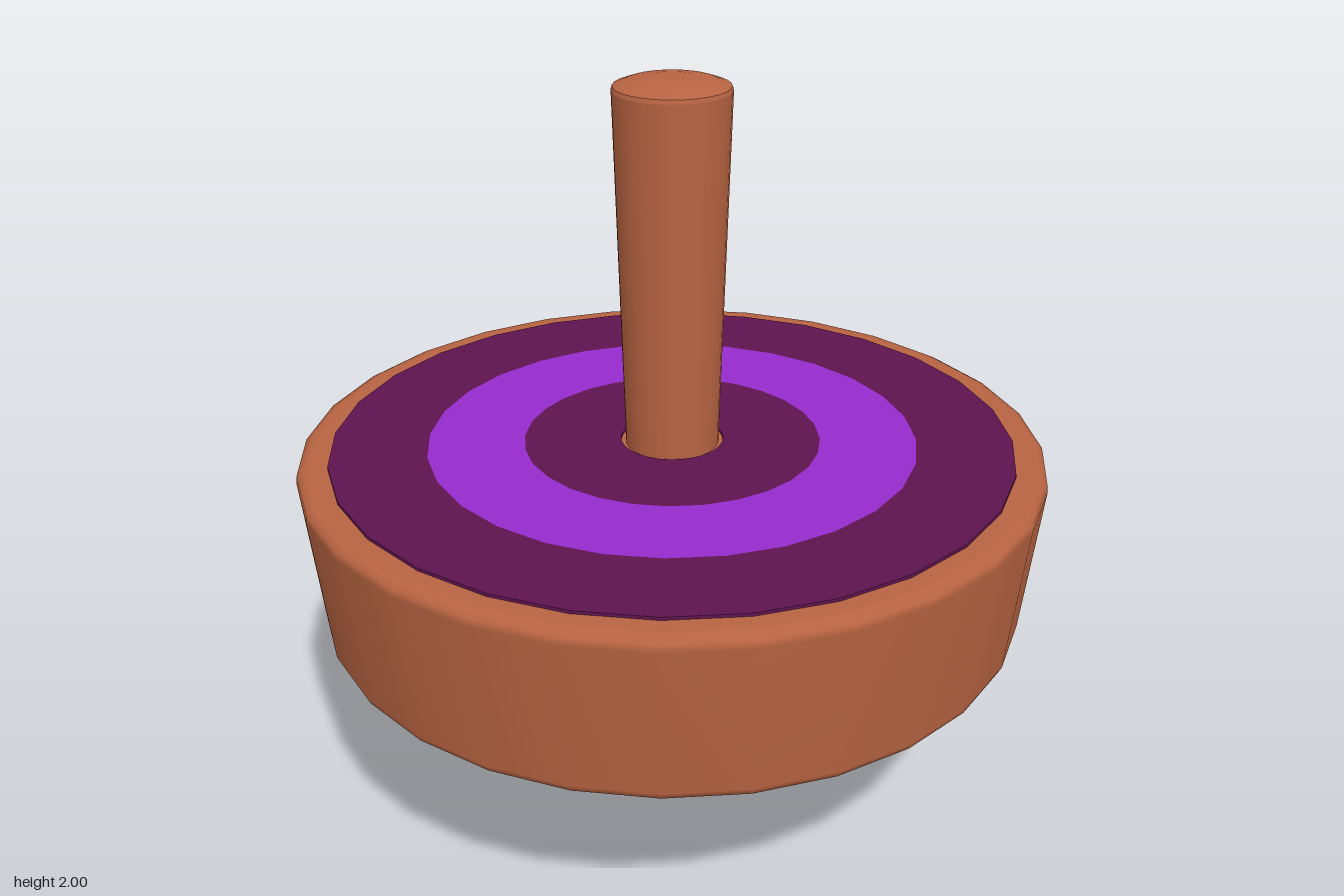
import * as THREE from 'three';

const SIDES = 28;
const wood = new THREE.MeshStandardMaterial({ color: 0xb86442 });
const darkPaint = new THREE.MeshStandardMaterial({ color: 0x5f1450 });
const lightPaint = new THREE.MeshStandardMaterial({ color: 0x962acd });
const black = new THREE.MeshStandardMaterial({ color: 0x1c1c1c });

// Turned part from a [radius, height] profile, bottom to top; a repeated point makes a sharp edge
function turned(name, profile, material, sides = SIDES) {
  const points = profile.map(([r, y]) => new THREE.Vector2(r, y));
  const mesh = new THREE.Mesh(new THREE.LatheGeometry(points, sides), material);
  mesh.name = name;
  return mesh;
}

// Thin flat painted ring with square edges
function paintedRing(name, inner, outer, material) {
  const low = 1.045, high = 1.06;
  return turned(name, [
    [outer, low], [outer, high], [outer, high],
    [inner, high], [inner, high], [inner, low],
  ], material);
}

export function createModel() {
  const top = new THREE.Group();
  top.name = 'spinningTop';

  // Pointed foot
  top.add(turned('tip', [
    [0, 0], [0.026, 0], [0.026, 0], [0.034, 0.012], [0.045, 0.09], [0.045, 0.1],
  ], black, 16));

  // Lower cone with a rounded shoulder
  top.add(turned('cone', [
    [0, 0.09], [0.068, 0.09], [0.068, 0.09], [0.09, 0.105], [0.15, 0.147],
    [0.54, 0.355], [0.685, 0.44], [0.717, 0.52], [0.724, 0.61],
  ], wood));

  // Heavy flywheel, flaring upward with softened rims
  top.add(turned('flywheel', [
    [0, 0.6], [0.9, 0.6], [0.9, 0.6], [0.917, 0.606], [0.926, 0.625],
    [0.965, 1.02], [0.963, 1.04], [0.945, 1.05], [0.92, 1.052], [0, 1.052],
  ], wood));

  // Painted bands on the upper face
  top.add(paintedRing('outerBand', 0.635, 0.885, darkPaint));
  top.add(paintedRing('middleBand', 0.385, 0.635, lightPaint));
  top.add(paintedRing('innerBand', 0.133, 0.385, darkPaint));

  // Handle, wider at its gently domed end
  top.add(turned('handle', [
    [0.12, 1.04], [0.146, 1.97], [0.146, 1.97], [0.143, 1.98],
    [0.143, 1.98], [0.11, 1.992], [0.06, 1.999], [0, 2],
  ], wood));

  return top;
}
